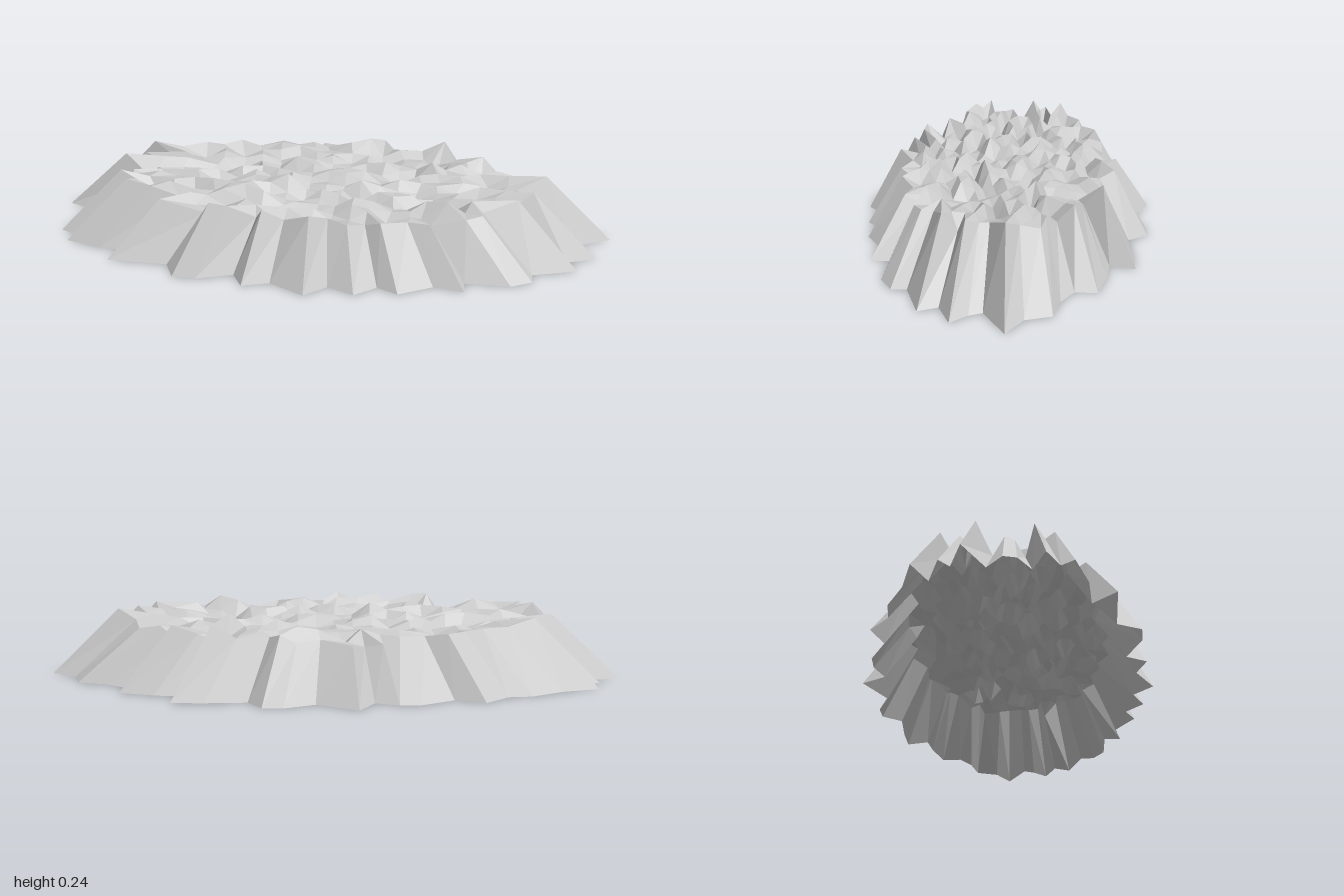
import * as THREE from 'three';

// Jagged foot of the slope: 60 [x, z] points, starting at +x and going round past +z
const FOOT = [
  [0.87, 0.02], [0.89, 0.06], [0.94, 0.11], [0.84, 0.15], [0.87, 0.21], [0.72, 0.26],
  [0.72, 0.31], [0.65, 0.35], [0.50, 0.35], [0.50, 0.41], [0.40, 0.39], [0.29, 0.455],
  [0.22, 0.42], [0.15, 0.48], [0.06, 0.44], [-0.01, 0.505], [-0.13, 0.44], [-0.22, 0.47],
  [-0.26, 0.40], [-0.38, 0.445], [-0.46, 0.44], [-0.50, 0.36], [-0.71, 0.355], [-0.64, 0.28],
  [-0.77, 0.27], [-0.90, 0.23], [-0.87, 0.19], [-0.95, 0.15], [-0.85, 0.11], [-0.92, 0.07],
  [-0.93, 0.03], [-0.87, -0.02], [-1.00, -0.08], [-0.88, -0.12], [-0.92, -0.15], [-0.80, -0.19],
  [-0.90, -0.23], [-0.77, -0.27], [-0.66, -0.33], [-0.58, -0.34], [-0.50, -0.41], [-0.40, -0.38],
  [-0.29, -0.44], [-0.22, -0.445], [-0.14, -0.42], [-0.09, -0.505], [0.05, -0.44], [0.15, -0.485],
  [0.22, -0.485], [0.27, -0.42], [0.41, -0.43], [0.52, -0.43], [0.50, -0.35], [0.59, -0.34],
  [0.71, -0.31], [0.71, -0.24], [0.78, -0.20], [0.88, -0.18], [0.91, -0.10], [1.00, -0.05],
];
const COUNT = FOOT.length, CELLS = 10, TAPER = 0.76;

// Repeatable noise in 0..1 for a pair of whole numbers
function noise(a, b) {
  const s = Math.sin(a * 127.1 + b * 311.7) * 43758.5453;
  return s - Math.floor(s);
}

// Surface from a list of quads, each as four corner vectors
function quadMesh(name, quads, material) {
  const points = quads.flatMap(([a, b, c, d]) => [a, b, c, a, c, d]);
  const geometry = new THREE.BufferGeometry().setFromPoints(points);
  geometry.computeVertexNormals();
  const mesh = new THREE.Mesh(geometry, material);
  mesh.name = name;
  return mesh;
}

// Rim point: the foot pulled inward and raised, outward spurs rising highest
function rimPoint(k) {
  const [x, z] = FOOT[k];
  const reach = Math.min(1, Math.hypot(x, z / 0.505));
  const y = 0.235 - (1 - reach) * 0.28 - noise(k, 77) ** 2 * 0.055;
  return new THREE.Vector3(x * TAPER, Math.max(y, 0.16), z * TAPER);
}

// Corner of the plateau's six-sided inner layout
function hexCorner(m) {
  const angle = (m * 10 + 5) / COUNT * Math.PI * 2;
  return new THREE.Vector3(0.72 * Math.cos(angle), 0, 0.36 * Math.sin(angle));
}

// Plateau point on a ring, at a position (0..60) round it: six-sided inside, following the rim outside
function plateauPoint(ring, around) {
  const k = Math.round(around * 100) / 100 % COUNT;
  if (ring === CELLS) return rimPoint(Math.round(k) % COUNT);
  const seed = ring ? Math.round(k * 10) + 1 : 0;
  const t = ring / CELLS;
  const edge = rimPoint(Math.floor(k)).lerp(rimPoint((Math.floor(k) + 1) % COUNT), k % 1);
  const side = (k + COUNT - 5) / 10, m = Math.floor(side);
  const p = hexCorner(m).lerp(hexCorner(m + 1), side - m).lerp(edge, t * t).multiplyScalar(t);
  // Bumps push each point out from the centre as well as up
  const bump = (noise(ring + 9, seed) + noise(seed, ring + 31)) / 2;
  p.multiplyScalar(0.985 + 0.03 * bump);
  p.y = 0.14 + 0.098 * bump;
  return p;
}

export function createModel() {
  const group = new THREE.Group();
  group.name = 'rockyPlateau';
  const rock = new THREE.MeshStandardMaterial({
    color: 0xcccccc, flatShading: true, side: THREE.DoubleSide,
  });

  // Rough top: three square patches of cells meeting at the centre
  const top = [];
  for (let patch = 0; patch < 3; patch++) {
    const corner = (i, j) => {
      const ring = Math.max(i, j);
      const t = ring === 0 ? 0 : j <= i ? j / (2 * ring) : 1 - i / (2 * ring);
      return plateauPoint(ring, 15 + (patch + t) * COUNT / 3);
    };
    for (let i = 0; i < CELLS; i++) {
      for (let j = 0; j < CELLS; j++) {
        top.push([corner(i, j), corner(i, j + 1), corner(i + 1, j + 1), corner(i + 1, j)]);
      }
    }
  }
  group.add(quadMesh('plateauTop', top, rock));

  // Ridged slope from the rim down to the open foot
  const slope = [];
  const foot = (k) => new THREE.Vector3(FOOT[k][0], 0, FOOT[k][1]);
  for (let k = 0; k < COUNT; k++) {
    const next = (k + 1) % COUNT;
    slope.push([rimPoint(k), rimPoint(next), foot(next), foot(k)]);
  }
  group.add(quadMesh('slope', slope, rock));
  return group;
}
